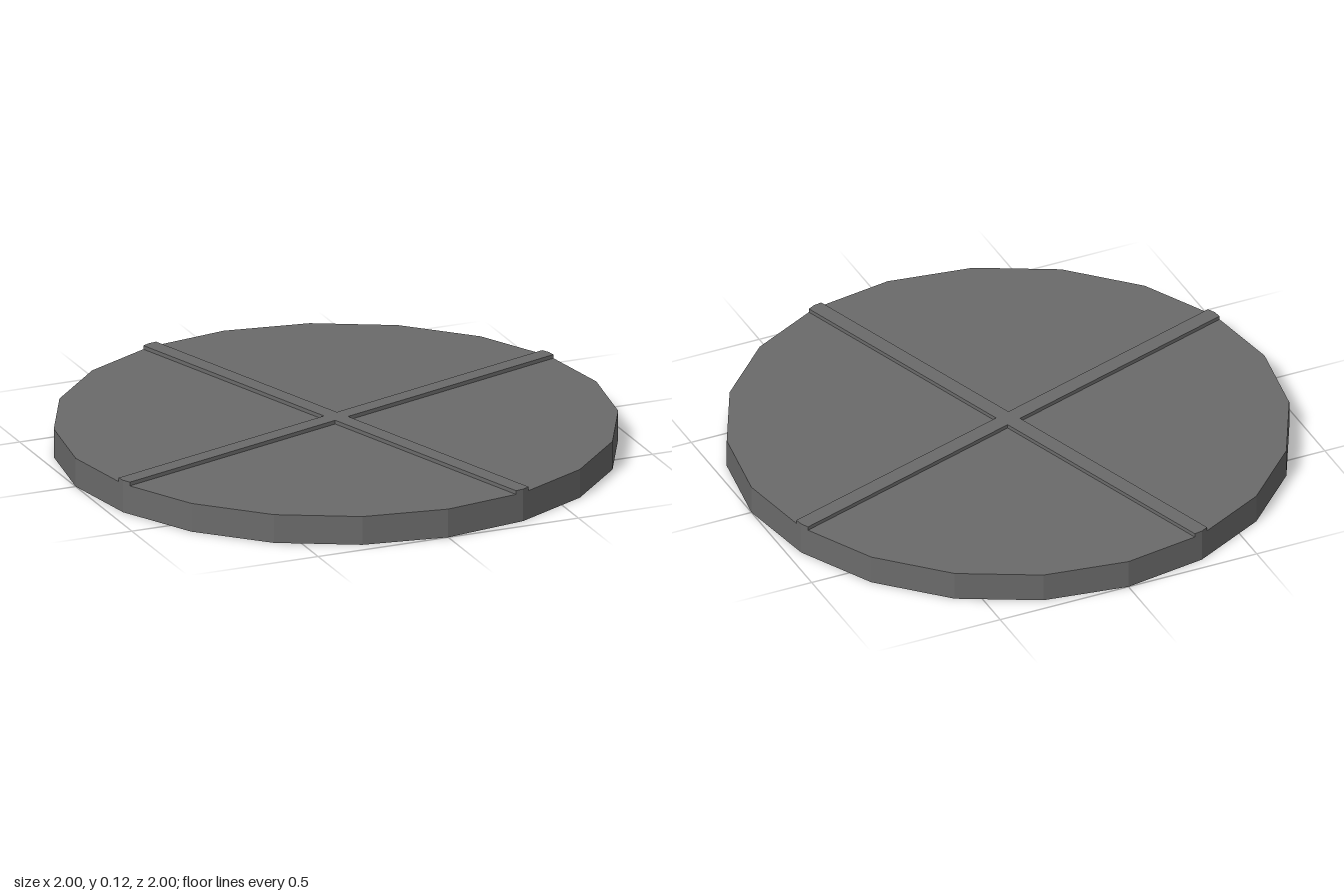
import * as THREE from 'three';

const SIDES = 20, PLATE_Y = 0.106, RIB_Y = 0.12, W = 0.03;
const END = 1 - W * Math.tan(Math.PI / SIDES); // where a rib edge meets the rim

const turn = ([x, y], a) => [x * Math.cos(a) - y * Math.sin(a), x * Math.sin(a) + y * Math.cos(a)];

// Flat horizontal sheet from an anticlockwise outline
function sheet(points, y) {
  const shape = new THREE.Shape(points.map(p => new THREE.Vector2(...p)));
  return new THREE.ShapeGeometry(shape).rotateX(-Math.PI / 2).translate(0, y, 0);
}

// Closed vertical band around an anticlockwise outline
function band(points, y0, y1) {
  const pos = [];
  points.forEach(([ax, ay], i) => {
    const [bx, by] = points[(i + 1) % points.length];
    pos.push(ax, y0, -ay, bx, y0, -by, bx, y1, -by);
    pos.push(ax, y0, -ay, bx, y1, -by, ax, y1, -ay);
  });
  const g = new THREE.BufferGeometry();
  g.setAttribute('position', new THREE.Float32BufferAttribute(pos, 3));
  g.computeVertexNormals();
  return g;
}

export function createModel() {
  const group = new THREE.Group();
  const grey = new THREE.MeshStandardMaterial({ color: 0x6b6b6b, side: THREE.DoubleSide, flatShading: true });
  grey.name = 'dark grey';
  const add = (name, geometry) => {
    const mesh = new THREE.Mesh(geometry, grey);
    mesh.name = name;
    group.add(mesh);
  };

  // Rim: open underneath
  const rim = [];
  for (let i = 0; i < SIDES; i++) rim.push(turn([1, 0], i * 2 * Math.PI / SIDES));
  add('rim', band(rim, 0, PLATE_Y));

  // Four plate sectors, leaving the cross-shaped channel open between them
  const sector = [[W, W], [END, W], ...rim.slice(1, SIDES / 4), [W, END]];
  const cross = [];
  for (let q = 0; q < 4; q++) {
    const a = q * Math.PI / 2;
    add('plateSector' + (q + 1), sheet(sector.map(p => turn(p, a)), PLATE_Y));
    cross.push(...[[1, 0], [END, W], [W, W], [W, END]].map(p => turn(p, a)));
  }

  // Raised hollow cross ribs
  add('ribTop', sheet(cross, RIB_Y));
  add('ribSides', band(cross, PLATE_Y, RIB_Y));

  group.rotation.y = Math.PI / 10;
  return group;
}
